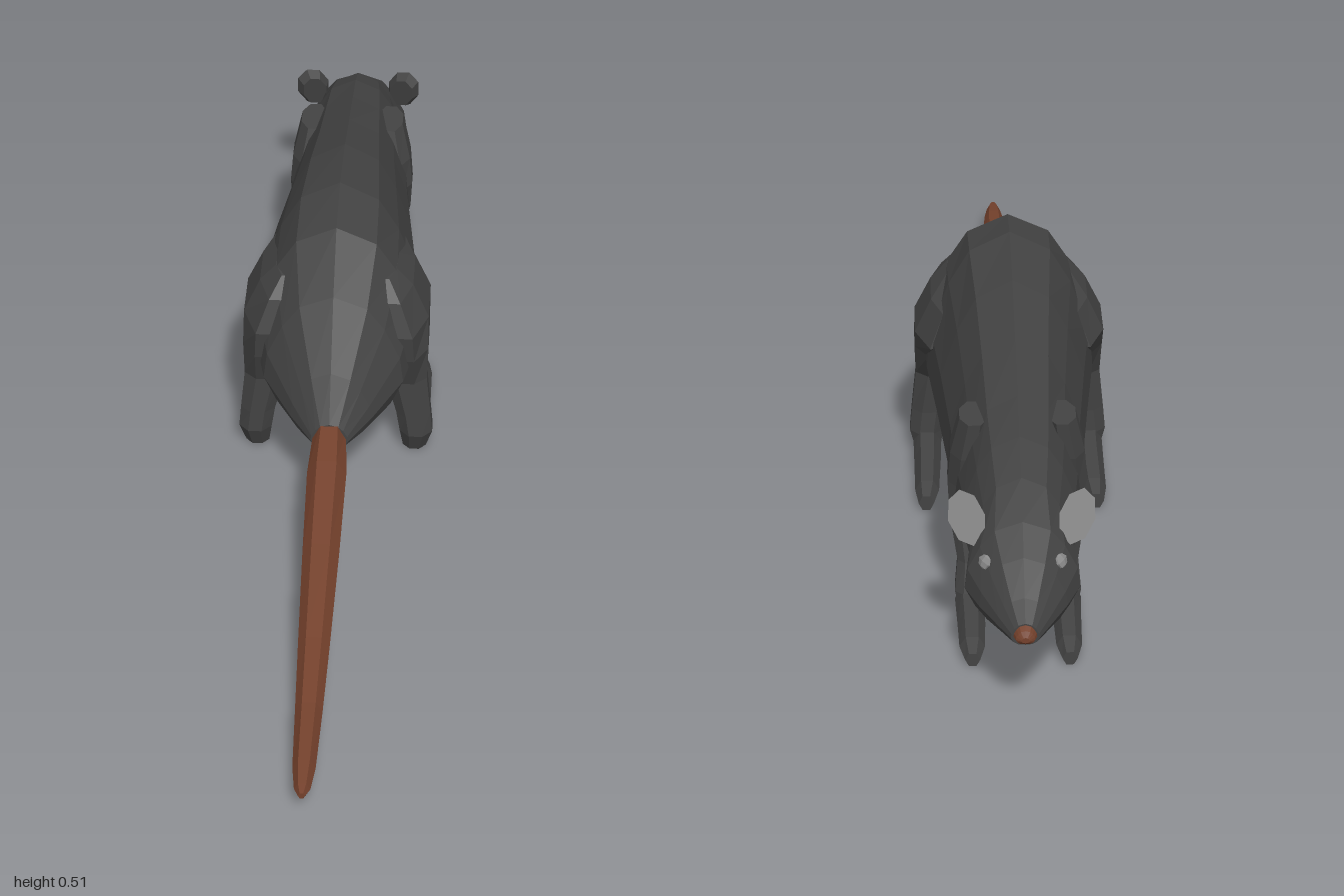
import * as THREE from 'three';

const mat = (name, color, extra = {}) => {
  const m = new THREE.MeshStandardMaterial({ color, flatShading: true, ...extra });
  m.name = name;
  return m;
};

// Closed skin through rings of points; rings turn right-handed about the travel direction
function loft(rings) {
  const pos = [];
  const tri = (a, b, c) => pos.push(...a, ...b, ...c);
  const n = rings[0].length;
  for (let r = 0; r < rings.length - 1; r++) {
    const a = rings[r], b = rings[r + 1];
    for (let i = 0; i < n; i++) {
      const j = (i + 1) % n;
      tri(a[i], a[j], b[j]);
      tri(a[i], b[j], b[i]);
    }
  }
  const s = rings[0], e = rings[rings.length - 1];
  for (let i = 1; i < n - 1; i++) {
    tri(s[0], s[i + 1], s[i]);
    tri(e[0], e[i], e[i + 1]);
  }
  const g = new THREE.BufferGeometry();
  g.setAttribute('position', new THREE.Float32BufferAttribute(pos, 3));
  g.computeVertexNormals();
  return g;
}

// n-sided oval point loop, f maps the two oval coordinates to a point
const oval = (n, f, turn = 0) => Array.from({ length: n }, (_, i) => {
  const a = ((i + turn) / n) * Math.PI * 2;
  return f(Math.cos(a), Math.sin(a));
});

// Half cross-section of the body: [share of half width, share of height]
const HALF = [[0, 1], [0.48, 0.91], [0.73, 0.75], [0.95, 0.52], [1, 0.33], [0.82, 0.14], [0.5, 0.03], [0, 0]];
const SECTION = [...HALF, ...HALF.slice(1, -1).reverse().map(([x, y]) => [-x, y])];
const bodyRing = ([z, top, bottom, w]) => SECTION.map(([x, y]) => [x * w, bottom + y * (top - bottom), z]);

// [z, top, bottom, half width]
const BODY = [
  [0.2, 0.21, 0.155, 0.035], [0.15, 0.29, 0.14, 0.075], [0.07, 0.405, 0.125, 0.13],
  [-0.03, 0.49, 0.115, 0.155], [-0.15, 0.51, 0.105, 0.152], [-0.31, 0.49, 0.1, 0.135],
  [-0.46, 0.447, 0.1, 0.12], [-0.6, 0.41, 0.11, 0.11], [-0.7, 0.385, 0.14, 0.1], [-0.78, 0.35, 0.14, 0.088],
];
const HEAD = [
  [-0.78, 0.35, 0.14, 0.088], [-0.85, 0.305, 0.12, 0.097], [-0.9, 0.265, 0.13, 0.074],
  [-0.95, 0.218, 0.143, 0.045], [-0.985, 0.19, 0.15, 0.024],
];
const NOSE = [[-0.984, 0.188, 0.155, 0.02], [-0.995, 0.182, 0.157, 0.016], [-1, 0.172, 0.162, 0.007]];

// [z, centre y, half width, half height]
const TAIL = [
  [0.18, 0.182, 0.03, 0.03], [0.28, 0.16, 0.036, 0.03], [0.46, 0.12, 0.033, 0.024], [0.66, 0.078, 0.028, 0.02],
  [0.8, 0.052, 0.024, 0.019], [0.93, 0.04, 0.02, 0.018], [0.98, 0.037, 0.014, 0.013], [1, 0.04, 0.006, 0.006],
];

// Legs: [inner x, outer x, y, back z, front z]
const LEGS = {
  hind: {
    limb: [
      [0.07, 0.112, 0.4, 0, -0.12], [0.07, 0.143, 0.365, 0.03, -0.19], [0.08, 0.173, 0.3, 0.05, -0.2],
      [0.088, 0.174, 0.24, 0.04, -0.11], [0.094, 0.172, 0.17, 0.016, -0.055],
      [0.115, 0.18, 0.09, 0.016, -0.048], [0.122, 0.184, 0.045, 0.016, -0.05], [0.128, 0.172, 0.002, -0.002, -0.05],
    ],
    // Feet: [z, centre x, half width, top y]
    foot: [[-0.01, 0.152, 0.026, 0.052], [-0.1, 0.152, 0.025, 0.045], [-0.22, 0.154, 0.022, 0.04], [-0.26, 0.156, 0.014, 0.028]],
  },
  front: {
    limb: [
      [0.05, 0.1, 0.37, -0.54, -0.63], [0.055, 0.116, 0.3, -0.52, -0.625], [0.06, 0.121, 0.24, -0.525, -0.612],
      [0.06, 0.118, 0.18, -0.545, -0.615], [0.06, 0.105, 0.1, -0.58, -0.63],
      [0.058, 0.11, 0.045, -0.592, -0.645], [0.065, 0.1, 0.002, -0.612, -0.65],
    ],
    foot: [[-0.62, 0.084, 0.026, 0.05], [-0.7, 0.083, 0.024, 0.042], [-0.77, 0.083, 0.022, 0.036], [-0.805, 0.083, 0.013, 0.024]],
  },
};

export function createModel() {
  const fur = mat('dark grey fur', 0x434343);
  const skin = mat('brown skin', 0x74412c);
  const pale = mat('pale grey', 0x8c8c8c);

  const model = new THREE.Group();
  model.name = 'rat';
  const add = (name, geometry, material, parent = model) => {
    const m = new THREE.Mesh(geometry, material);
    m.name = name;
    parent.add(m);
    return m;
  };

  add('body', loft(BODY.map(bodyRing)), fur);
  add('head', loft(HEAD.map(bodyRing)), fur);
  add('nose', loft(NOSE.map(bodyRing)), skin);
  add('tail', loft(TAIL.map(([z, y, rx, ry]) => oval(6, (c, s) => [c * rx, y + s * ry * 1.12, z]))), skin);

  for (const [side, label] of [[1, 'left'], [-1, 'right']]) {
    // Legs and feet
    for (const [kind, { limb, foot }] of Object.entries(LEGS)) {
      const leg = new THREE.Group();
      leg.name = `${label} ${kind} leg`;
      model.add(leg);
      add('limb', loft(limb.map(([x0, x1, y, z0, z1]) => oval(8, (c, s) => [
        side * (x0 + x1) / 2 + c * (x1 - x0) * 0.54,
        y,
        (z0 + z1) / 2 + s * (z0 - z1) * 0.54,
      ], 0.5))), fur, leg);
      add('foot', loft(foot.map(([z, x, rx, top]) => oval(6, (c, s) => [
        side * x + s * rx,
        top / 2 + c * top * 0.577,
        z,
      ], 0.5))), fur, leg);
    }

    // Ears: shallow cups opening toward the nose
    const cup = new THREE.CylinderGeometry(1, 0.75, 1, 8).rotateX(-Math.PI / 2).scale(0.033, 0.05, 0.016);
    const ear = add(`${label} ear`, cup, [fur, pale, fur]);
    ear.position.set(side * 0.09, 0.293, -0.807);
    ear.rotation.set(0.2, -side * 0.3, -side * 0.25);

    // Eyes
    const eye = add(`${label} eye`, new THREE.SphereGeometry(1, 6, 4).scale(0.007, 0.013, 0.018), pale);
    eye.position.set(side * 0.063, 0.243, -0.872);
    eye.rotation.set(0, side * 0.45, side * 0.5);
  }
  return model;
}
